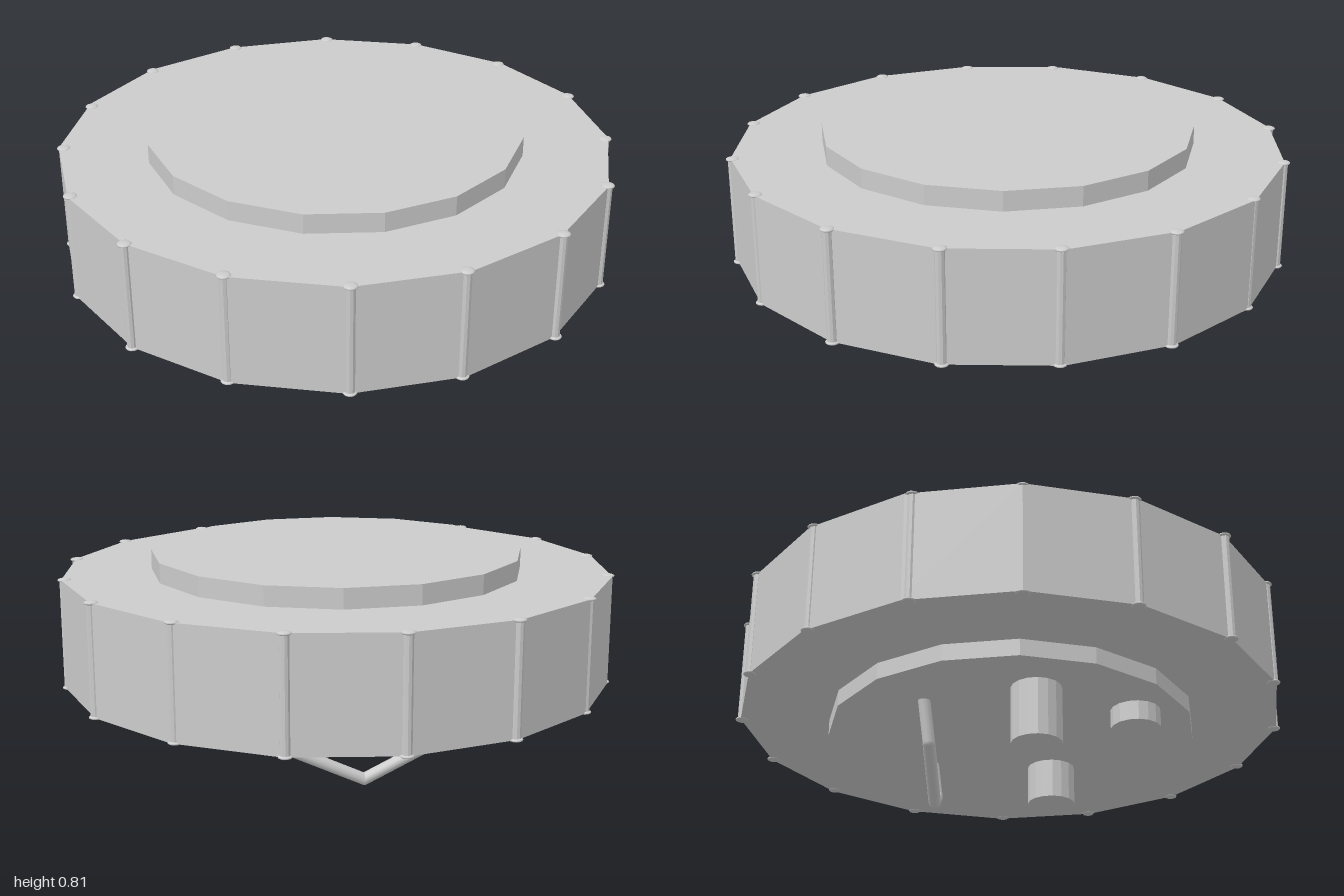
import * as THREE from 'three';

export function createModel() {
  const model = new THREE.Group();
  const flat = new THREE.MeshStandardMaterial({ color: 0xcccccc, flatShading: true });
  const smooth = new THREE.MeshStandardMaterial({ color: 0xcccccc });

  const add = (name, geometry, material, parent = model) => {
    const mesh = new THREE.Mesh(geometry, material);
    mesh.name = name;
    parent.add(mesh);
    return mesh;
  };

  // upright faceted cylinder between two heights
  const disc = (name, x, z, r, y0, y1, turn = 0, sides = 16, parent = model) => {
    const mesh = add(name, new THREE.CylinderGeometry(r, r, y1 - y0, sides), flat, parent);
    mesh.position.set(x, (y0 + y1) / 2, z);
    mesh.rotation.y = turn;
    return mesh;
  };

  // drum body with raised plates above and below
  disc('body', -0.005, -0.008, 0.98, 0.35, 0.74);
  disc('topPlate', -0.005, -0.007, 0.665, 0.73, 0.81, Math.PI / 16);
  disc('bottomPlate', -0.005, -0.002, 0.663, 0.29, 0.36);

  // slightly uneven rods with flattened caps along the corners: [x, z]
  const rods = [
    [-0.01, -0.975], [0.374, -0.905], [0.685, -0.687], [0.893, -0.388],
    [0.973, -0.013], [0.888, 0.372], [0.685, 0.677], [0.36, 0.89],
    [-0.006, 0.97], [-0.383, 0.885], [-0.685, 0.673], [-0.888, 0.38],
    [-0.974, 0.002], [-0.904, -0.384], [-0.69, -0.703], [-0.38, -0.907],
  ];
  const edgeRods = new THREE.Group();
  edgeRods.name = 'edgeRods';
  model.add(edgeRods);
  rods.forEach(([x, z]) => {
    disc('rod', x, z, 0.017, 0.35, 0.74, 0, 10, edgeRods);
    for (const y of [0.351, 0.739]) {
      const cap = add('rodCap', new THREE.SphereGeometry(0.024, 12, 8), smooth, edgeRods);
      cap.position.set(x, y, z);
      cap.scale.y = 0.3;
    }
  });

  // three posts of different lengths under the bottom plate
  disc('longPost', -0.254, 0.342, 0.088, 0.085, 0.3);
  disc('shortPost', 0.115, 0.476, 0.088, 0.22, 0.3);
  disc('middlePost', 0.307, -0.085, 0.088, 0.145, 0.3);

  // bent wire loop hanging diagonally below the plate
  const loop = new THREE.Group();
  loop.name = 'wireLoop';
  model.add(loop);
  const points = [
    [-0.443, 0.3, -0.008], [-0.411, 0.145, -0.011], [-0.222, 0.022, -0.17],
    [-0.034, 0.147, -0.353], [-0.028, 0.3, -0.385],
  ].map((p) => new THREE.Vector3(...p));
  points.slice(1).forEach((end, i) => {
    const path = new THREE.LineCurve3(points[i], end);
    add('wireSegment', new THREE.TubeGeometry(path, 1, 0.022, 12), smooth, loop);
    if (i < 3) add('wireBend', new THREE.SphereGeometry(0.022, 12, 8), smooth, loop).position.copy(end);
  });

  return model;
}
